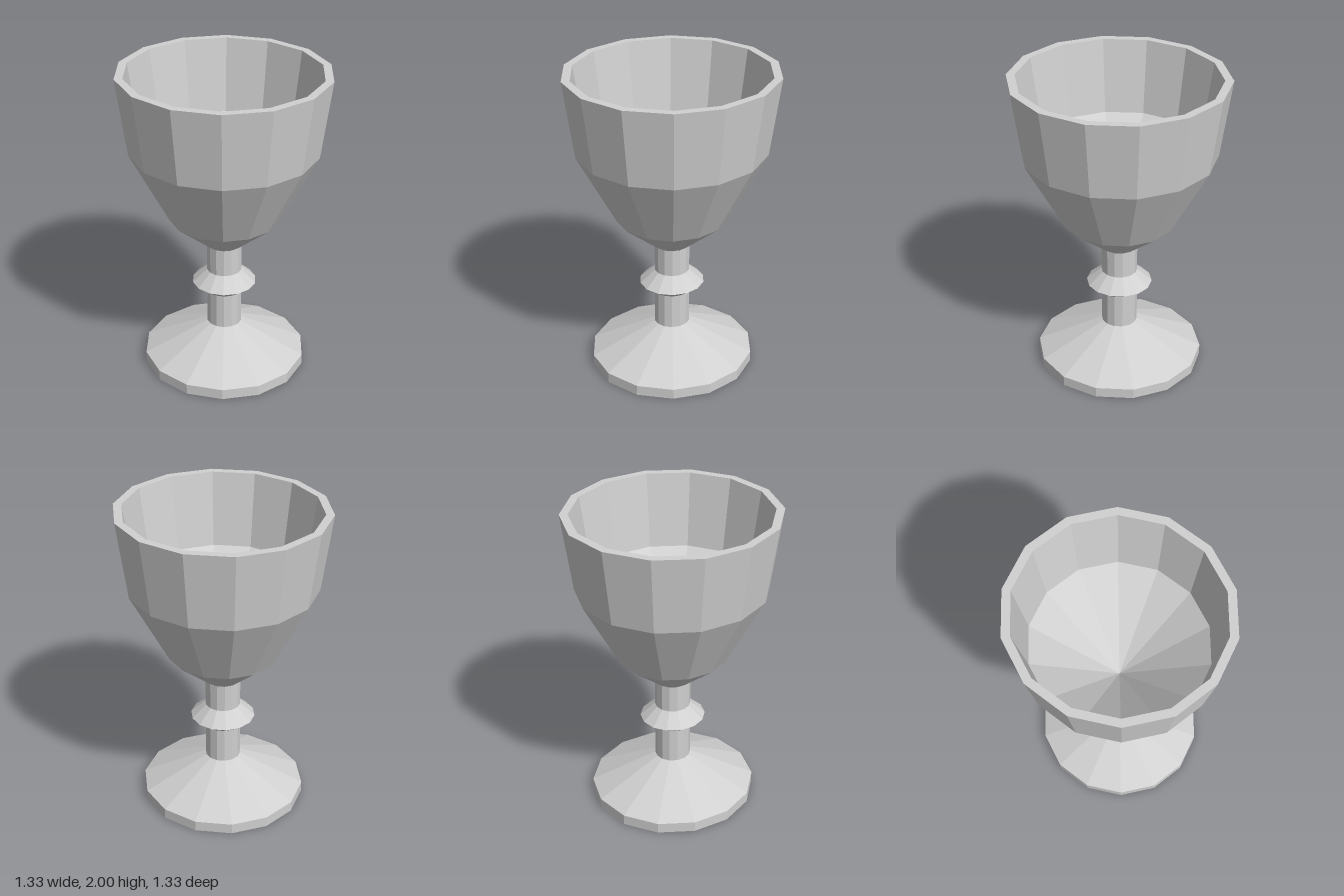
import * as THREE from 'three';

const SIDES = 14;

export function createModel() {
  const goblet = new THREE.Group();
  goblet.name = 'goblet';
  const metal = new THREE.MeshStandardMaterial({ color: 0xd0d0d0, flatShading: true });
  metal.name = 'paleGrey';

  // Faceted turned part from [radius, height] points, with corners on the x axis
  function turned(name, profile) {
    const points = profile.map(([r, y]) => new THREE.Vector2(r, y));
    const geometry = new THREE.LatheGeometry(points, SIDES, Math.PI / 2);
    // Make the flat front and back reach as far as the side corners
    geometry.scale(1, 1, 1 / Math.cos(Math.PI / SIDES));
    const mesh = new THREE.Mesh(geometry, metal);
    mesh.name = name;
    goblet.add(mesh);
  }

  // Flat underside, short rim and sloping top
  turned('foot', [[0, 0], [0.527, 0], [0.527, 0.068], [0.113, 0.27]]);

  // Stem with a sharp ring in the middle
  turned('stem', [[0.113, 0.27], [0.113, 0.503]]);
  turned('stemRing', [[0.113, 0.503], [0.207, 0.57], [0.113, 0.655]]);
  turned('upperStem', [[0.113, 0.655], [0.113, 0.837]]);

  // Outer wall, lip, inner wall and conical hollow
  turned('bowl', [
    [0.113, 0.837], [0.352, 1.037], [0.597, 1.503], [0.665, 2],
    [0.613, 2], [0.545, 1.52], [0, 1.03],
  ]);

  return goblet;
}
